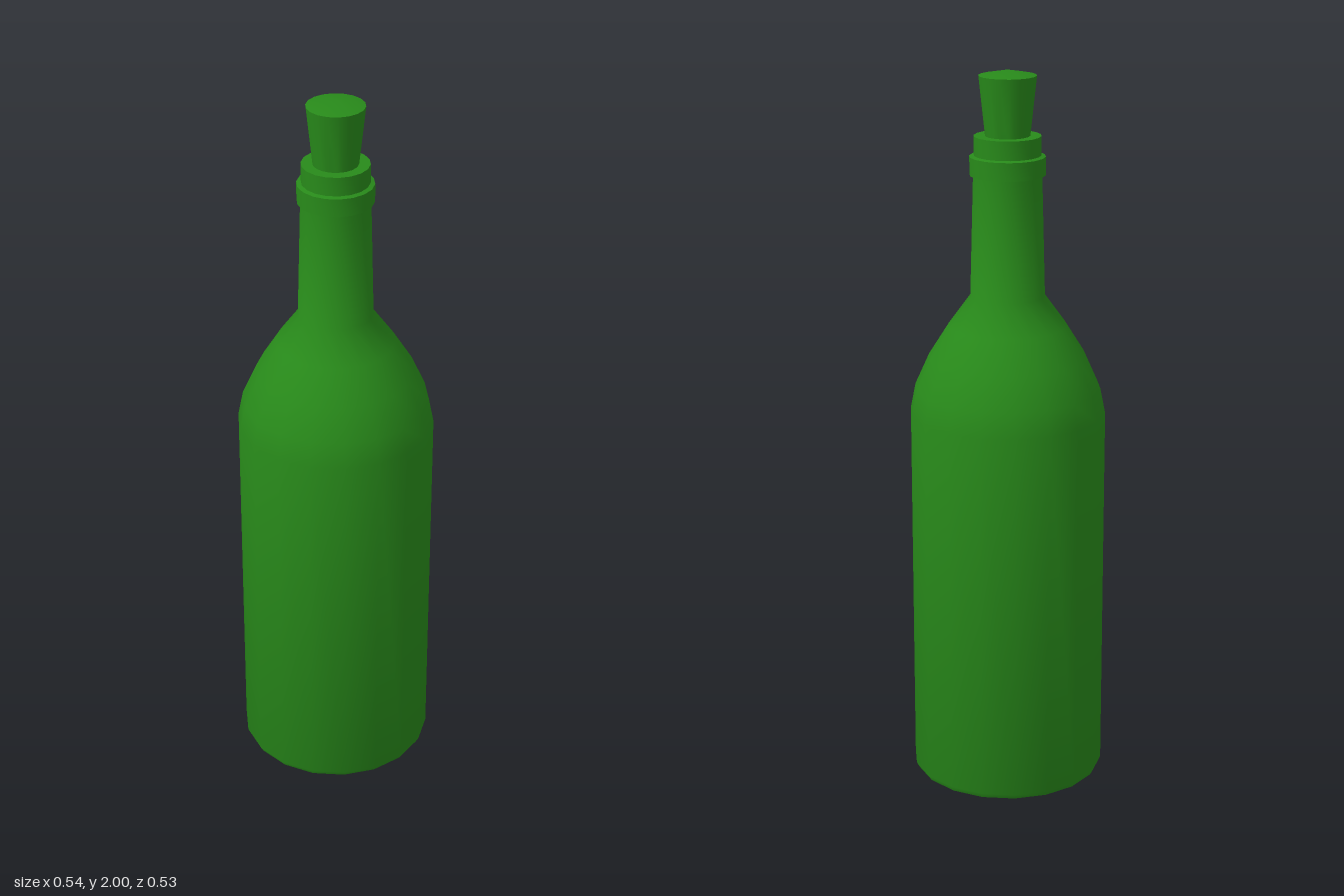
import * as THREE from 'three';
import { toCreasedNormals } from 'three/addons/utils/BufferGeometryUtils.js';

const SIDES = 18;
const green = new THREE.MeshStandardMaterial({ color: 0x288a1a });

// Turn a [radius, height] profile, listed bottom to top, with a corner on the x axis
function turned(name, profile) {
  const points = profile.map(([r, y]) => new THREE.Vector2(r, y));
  const lathe = new THREE.LatheGeometry(points, SIDES, Math.PI / 2);
  const mesh = new THREE.Mesh(toCreasedNormals(lathe, 0.7), green);
  mesh.name = name;
  return mesh;
}

export function createModel() {
  const bottle = new THREE.Group();
  bottle.name = 'bottle';

  // Base, straight body, rounded shoulder and tapering neck
  bottle.add(turned('glassBody', [
    [0, 0.005], [0.257, 0.005], [0.262, 0], [0.27, 0.015],
    [0.27, 1.06], [0.256, 1.13], [0.217, 1.217], [0.162, 1.305],
    [0.102, 1.388], [0.093, 1.73],
  ]));

  // Collar ring around the top of the neck
  bottle.add(turned('collar', [
    [0.088, 1.718], [0.103, 1.72], [0.103, 1.77], [0.088, 1.774],
  ]));

  // Narrower lip closing in on the stopper
  bottle.add(turned('lip', [
    [0.091, 1.76], [0.091, 1.825], [0.055, 1.825],
  ]));

  // Tapered stopper with a faintly peaked top
  bottle.add(turned('stopper', [
    [0, 1.78], [0.056, 1.78], [0.078, 1.985], [0, 2],
  ]));

  return bottle;
}
